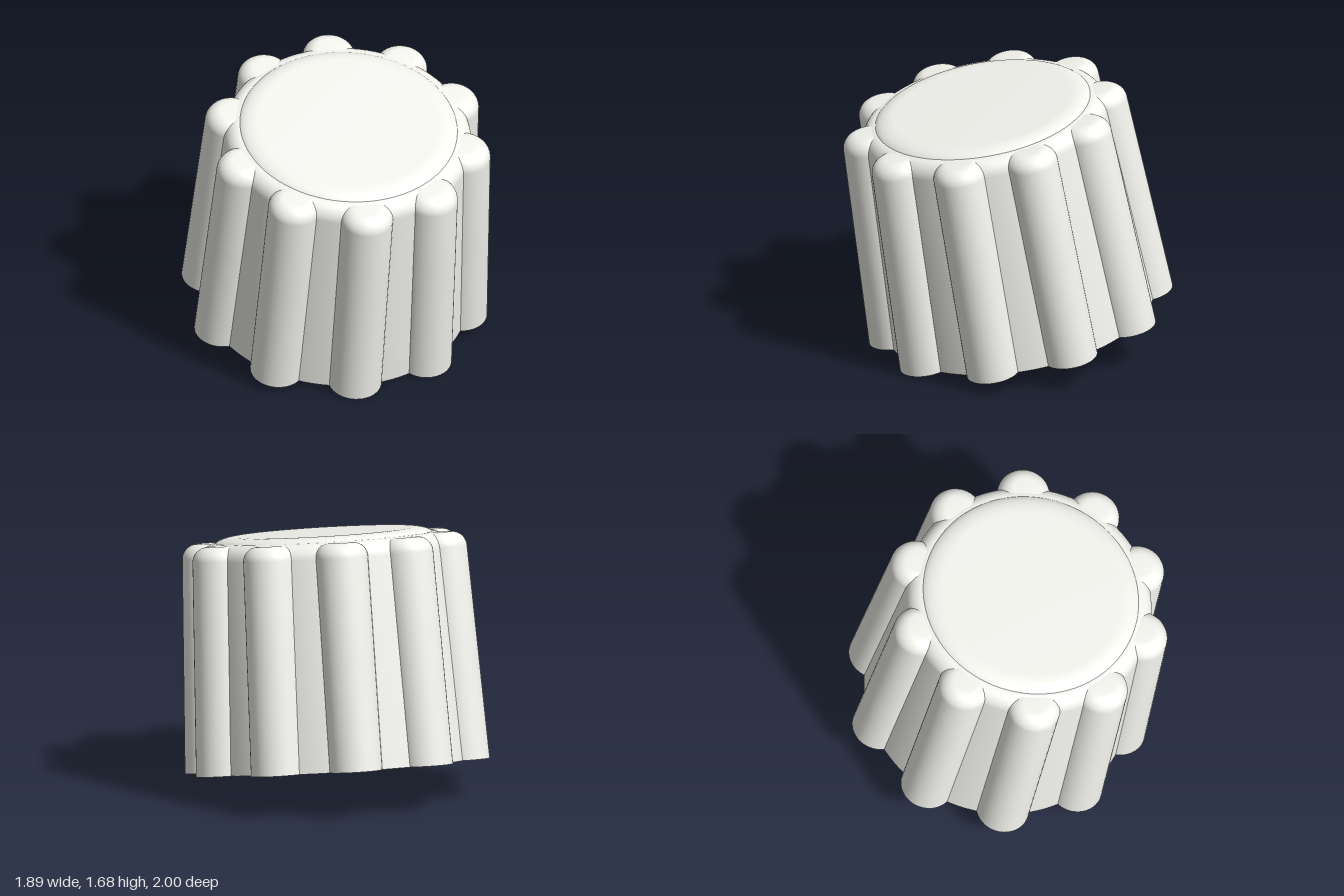
import * as THREE from 'three';
import { toCreasedNormals } from 'three/addons/utils/BufferGeometryUtils.js';

const TILT = THREE.MathUtils.degToRad(10);
const RIBS = 10;
const FIRST_RIB = THREE.MathUtils.degToRad(-11.5);
const CAVITY_R = 0.73, CAVITY_DEPTH = 0.5;
const HEX_R = 0.45, HEX_TOP = 1.2;
const COLOR = 0xf5f5f0;

const v2 = (x, y) => new THREE.Vector2(x, y);

// Points of a rounded corner, from the side wall (angle 0) to the flat top
function round(cx, cy, rx, ry, from = 0, steps = 12) {
  const points = [];
  for (let i = 0; i <= steps; i++) {
    const a = from + (Math.PI / 2 - from) * i / steps;
    points.push(v2(cx + rx * Math.cos(a), cy + ry * Math.sin(a)));
  }
  return points;
}

// Tapered, hollow body with a rounded shoulder and a raised, softly rounded top
function bodyGeometry() {
  const profile = [
    v2(CAVITY_R, CAVITY_DEPTH), v2(CAVITY_R, 0), v2(0.825, 0),
    ...round(0.668, 1.3, 0.095, 0.105, 0.05),
    ...round(0.548, 1.385, 0.13, 0.053, 0.4).slice(1),
    v2(0, 1.438),
  ];
  return toCreasedNormals(new THREE.LatheGeometry(profile, 96), 0.5);
}

// Grip rib leaning inwards; its lower back is flattened to stay out of the cavity
function ribGeometry() {
  const profile = [
    v2(0, 0), v2(0.165, 0), v2(0.164, 0.6), v2(0.164, 0.7),
    ...round(0.073, 1.312, 0.09, 0.09),
    v2(0, 1.402),
  ];
  const geometry = new THREE.LatheGeometry(profile, 40);
  const p = geometry.attributes.position;
  for (let i = 0; i < p.count; i++) {
    const y = p.getY(i);
    let z = p.getZ(i);
    if (y < 0.65) z = Math.max(z, -0.02);
    p.setZ(i, z + 0.783 - 0.046 * y);
  }
  return toCreasedNormals(geometry, 0.6);
}

// Downward-facing flat ring with a hexagonal opening
function shelfGeometry() {
  const shape = new THREE.Shape().absarc(0, 0, CAVITY_R, 0, Math.PI * 2);
  const hex = [];
  for (let i = 0; i < 6; i++) {
    const a = i * Math.PI / 3;
    hex.push(v2(HEX_R * Math.cos(a), HEX_R * Math.sin(a)));
  }
  shape.holes.push(new THREE.Path(hex));
  return new THREE.ShapeGeometry(shape, 48).rotateX(Math.PI / 2).translate(0, CAVITY_DEPTH, 0);
}

export function createModel() {
  const model = new THREE.Group();
  model.name = 'knob';
  const knob = new THREE.Group();
  knob.name = 'tiltedKnob';
  model.add(knob);

  const smooth = new THREE.MeshStandardMaterial({ color: COLOR });
  const inner = new THREE.MeshStandardMaterial({ color: COLOR, flatShading: true, side: THREE.DoubleSide });
  const add = (name, geometry, material) => {
    const mesh = new THREE.Mesh(geometry, material);
    mesh.name = name;
    knob.add(mesh);
    return mesh;
  };

  add('body', bodyGeometry(), smooth);

  // Ribs around the body
  const rib = ribGeometry();
  for (let i = 0; i < RIBS; i++) {
    add('gripRib', rib, smooth).rotation.y = FIRST_RIB + i * Math.PI * 2 / RIBS;
  }

  // Hexagonal socket above the round cavity
  add('cavityShelf', shelfGeometry(), smooth);
  const depth = HEX_TOP - CAVITY_DEPTH;
  const walls = new THREE.CylinderGeometry(HEX_R, HEX_R, depth, 6, 1, true, Math.PI / 6);
  add('socketWalls', walls.translate(0, CAVITY_DEPTH + depth / 2, 0), inner);
  const end = new THREE.CircleGeometry(HEX_R, 6).rotateX(Math.PI / 2);
  add('socketEnd', end.translate(0, HEX_TOP, 0), smooth);

  // Whole knob leans forwards, resting on its front edge
  knob.rotation.x = TILT;
  knob.position.set(0, 0.161, -0.085);
  return model;
}
